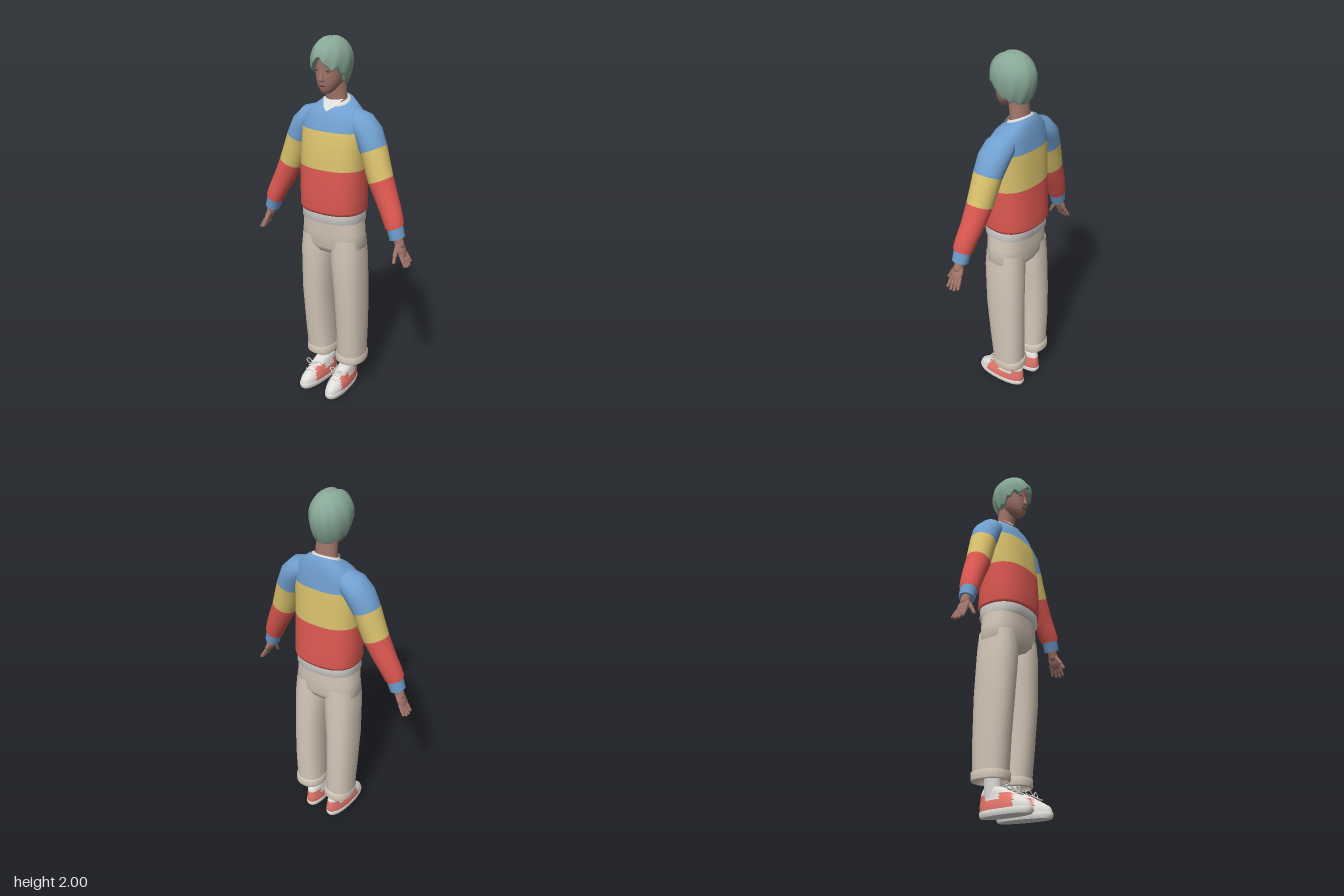
import * as THREE from 'three';

const mat = (name, color) => {
  const m = new THREE.MeshStandardMaterial({ color, side: THREE.DoubleSide });
  m.name = name;
  return m;
};
const M = {
  blue: mat('blue knit', 0x70a0d0), yellow: mat('yellow knit', 0xd9c16c), red: mat('red knit', 0xde5851),
  white: mat('white cloth', 0xe0deda), pants: mat('beige cotton', 0xd5c7b8), skin: mat('skin', 0xa1756a),
  hair: mat('sage hair', 0x88a896), coral: mat('coral canvas', 0xe4776c), dark: mat('dark brown', 0x5a3d3b),
};

// Closed tube of rows; point(i, t) gives a vertex, pick(centre) a material index
function grid(rows, segs, point, materials, pick = () => 0) {
  const pts = [], buckets = materials.map(() => []);
  for (let i = 0; i < rows; i++)
    for (let j = 0; j < segs; j++) pts.push(point(i, (j / segs) * Math.PI * 2));
  const mid = new THREE.Vector3();
  for (let i = 0; i < rows - 1; i++)
    for (let j = 0; j < segs; j++) {
      const k = (j + 1) % segs;
      const a = i * segs + j, b = i * segs + k, c = a + segs, d = b + segs;
      mid.copy(pts[a]).add(pts[b]).add(pts[c]).add(pts[d]).multiplyScalar(0.25);
      buckets[pick(mid)].push(a, c, b, b, c, d);
    }
  const g = new THREE.BufferGeometry().setFromPoints(pts);
  g.setIndex(buckets.flat());
  let start = 0;
  buckets.forEach((b, i) => { g.addGroup(start, b.length, i); start += b.length; });
  g.computeVertexNormals();
  return new THREE.Mesh(g, materials);
}

// Loft through rows [x, y, z, rx, rz, roll, pitch], bottom to top; p is the squareness
function loft(rows, materials, { segs = 36, p = 2, pick } = {}) {
  const pw = (v) => Math.sign(v) * Math.abs(v) ** (2 / p);
  return grid(rows.length, segs, (i, t) => {
    const [x, y, z, rx, rz, roll = 0, pitch = 0] = rows[i];
    const u = pw(Math.cos(t)) * rx, w = pw(Math.sin(t)) * rz;
    return new THREE.Vector3(x + u * Math.cos(roll), y + u * Math.sin(roll) - w * pitch, z + w);
  }, materials, pick);
}

// Capsule between two points
function limb(a, b, r, material) {
  const A = new THREE.Vector3(...a), B = new THREE.Vector3(...b), d = B.clone().sub(A);
  const mesh = new THREE.Mesh(new THREE.CapsuleGeometry(r, d.length(), 4, 10), material);
  mesh.position.copy(A).addScaledVector(d, 0.5);
  mesh.quaternion.setFromUnitVectors(new THREE.Vector3(0, 1, 0), d.normalize());
  return mesh;
}

function ball(pos, size, material, rotZ = 0) {
  const mesh = new THREE.Mesh(new THREE.SphereGeometry(1, 20, 14), material);
  mesh.position.set(...pos);
  mesh.scale.set(...size);
  mesh.rotation.z = rotZ;
  return mesh;
}

// Linear interpolation through [key, value] pairs
function lerpKeys(keys, x) {
  const i = Math.max(1, keys.findIndex((k) => k[0] >= x));
  const [a, va] = keys[i - 1], [b, vb] = keys[i];
  return va + (vb - va) * THREE.MathUtils.smoothstep(x, a, b);
}

export function createModel() {
  const root = new THREE.Group();
  root.name = 'standingFigure';
  const bake = (mesh) => {
    mesh.updateMatrix();
    const g = mesh.geometry.clone().applyMatrix4(mesh.matrix);
    return new THREE.Mesh(g, mesh.material);
  };
  const add = (name, mesh) => {
    const m = bake(mesh);
    m.name = name;
    root.add(m);
  };
  // Adds a left part and its mirrored right twin
  const pair = (name, mesh) => {
    add('left' + name, mesh);
    const m = bake(mesh), ix = m.geometry.index;
    m.geometry.scale(-1, 1, 1);
    for (let i = 0; i < ix.count; i += 3) {
      const t = ix.getX(i);
      ix.setX(i, ix.getX(i + 1));
      ix.setX(i + 1, t);
    }
    m.name = 'right' + name;
    root.add(m);
  };

  // Sweater body with three stripes
  add('sweaterBody', loft([
    [0, 1.1, -0.026, 0.165, 0.125], [0, 1.1, -0.026, 0.178, 0.14], [0, 1.115, -0.026, 0.183, 0.145],
    [0, 1.2, -0.023, 0.184, 0.142], [0, 1.34, -0.022, 0.183, 0.133], [0, 1.45, -0.025, 0.181, 0.125],
    [0, 1.535, -0.031, 0.182, 0.112], [0, 1.59, -0.038, 0.175, 0.1], [0, 1.63, -0.043, 0.145, 0.09, 0, 0.1],
    [0, 1.656, -0.047, 0.113, 0.078, 0, 0.2], [0, 1.677, -0.05, 0.083, 0.063, 0, 0.4],
    [0, 1.672, -0.05, 0.074, 0.055, 0, 0.4],
  ], [M.red, M.yellow, M.blue], { p: 2.4, segs: 48, pick: (c) => (c.y < 1.34 ? 0 : c.y < 1.535 ? 1 : 2) }));

  // Sleeves, from cuff to shoulder
  const yellowLow = (c) => c.y - 0.4 * (c.x - 0.285) < 1.305;
  const yellowHigh = (c) => c.y - 0.4 * (c.x - 0.232) < 1.455;
  const cuffTop = (c) => c.y - 0.4 * (c.x - 0.393) < 1.075;
  pair('Sleeve', loft([
    [0.405, 1.035, 0, 0, 0, 0.38], [0.41, 1.022, 0, 0.036, 0.036, 0.38], [0.41, 1.022, 0, 0.041, 0.043, 0.38],
    [0.393, 1.075, -0.002, 0.043, 0.046, 0.4], [0.388, 1.088, -0.003, 0.051, 0.053, 0.4],
    [0.366, 1.14, -0.01, 0.055, 0.056, 0.4], [0.333, 1.205, -0.02, 0.06, 0.06, 0.4],
    [0.285, 1.305, -0.028, 0.067, 0.067, 0.4], [0.258, 1.38, -0.034, 0.069, 0.071, 0.4],
    [0.232, 1.455, -0.039, 0.069, 0.076, 0.4], [0.195, 1.53, -0.045, 0.072, 0.083, 0.5],
    [0.152, 1.575, -0.048, 0.067, 0.08, 0.85], [0.1, 1.6, -0.05, 0.05, 0.06, 1.2],
  ], [M.blue, M.red, M.yellow], {
    pick: (c) => (cuffTop(c) ? 0 : yellowLow(c) ? 1 : yellowHigh(c) ? 2 : 0),
  }));

  // Undershirt hem, collar ring and V at the neck
  add('shirtHem', loft([
    [0, 1.05, -0.026, 0.16, 0.11], [0, 1.05, -0.026, 0.177, 0.134], [0, 1.11, -0.026, 0.176, 0.134],
  ], [M.white], { p: 2.4 }));
  add('shirtCollar', loft([
    [0, 1.655, -0.05, 0.08, 0.064, 0, 0.4], [0, 1.685, -0.05, 0.072, 0.057, 0, 0.4],
    [0, 1.685, -0.05, 0.055, 0.045, 0, 0.4],
  ], [M.white]));
  const v = new THREE.Shape([[-0.062, 0.035], [-0.03, -0.012], [0, -0.034], [0.03, -0.012], [0.062, 0.035],
    [0.03, 0.03], [0, 0.026], [-0.03, 0.03]].map((q) => new THREE.Vector2(...q)));
  const vg = new THREE.ShapeGeometry(v);
  const vp = vg.attributes.position;
  for (let i = 0; i < vp.count; i++) {
    const x = vp.getX(i), y = vp.getY(i);
    vp.setXYZ(i, x, 1.66 + y * 0.85, 0.023 - y * 0.75 - x * x * 4);
  }
  vg.computeVertexNormals();
  add('shirtNeckPoint', new THREE.Mesh(vg, M.white));

  // Trousers
  add('trouserSeat', loft([
    [0, 0.85, -0.03, 0.05, 0.05], [0, 0.865, -0.03, 0.15, 0.09], [0, 0.9, -0.029, 0.187, 0.109],
    [0, 0.98, -0.027, 0.18, 0.113], [0, 1.07, -0.025, 0.171, 0.115],
  ], [M.pants], { p: 2.5, segs: 48 }));
  pair('TrouserLeg', loft([
    [0.102, 0.19, -0.06, 0.08, 0.09], [0.108, 0.38, -0.052, 0.08, 0.101], [0.108, 0.6, -0.04, 0.084, 0.11],
    [0.1, 0.75, -0.034, 0.09, 0.111], [0.096, 0.85, -0.03, 0.092, 0.111], [0.093, 0.95, -0.029, 0.085, 0.105],
  ], [M.pants], { p: 2.3 }));
  pair('TrouserCuff', loft([
    [0.101, 0.21, -0.062, 0, 0], [0.101, 0.21, -0.062, 0.074, 0.086], [0.101, 0.17, -0.062, 0.076, 0.088],
    [0.101, 0.167, -0.062, 0.082, 0.094], [0.101, 0.175, -0.062, 0.086, 0.099],
    [0.101, 0.212, -0.062, 0.086, 0.099], [0.101, 0.219, -0.062, 0.076, 0.088],
  ], [M.pants], { p: 2.3 }));

  // Socks and shoes
  pair('Sock', loft([[0.083, 0.09, -0.058, 0.038, 0.046], [0.09, 0.215, -0.058, 0.038, 0.046]], [M.white]));
  const turned = (mesh) => {
    mesh.rotation.y = 0.07;
    return mesh;
  };
  pair('ShoeSole', turned(loft([
    [0.08, 0, 0.02, 0, 0], [0.08, 0, 0.02, 0.052, 0.149], [0.08, 0, 0.02, 0.052, 0.149],
    [0.08, 0.012, 0.02, 0.056, 0.155], [0.08, 0.028, 0.02, 0.056, 0.155], [0.08, 0.034, 0.02, 0.048, 0.145],
  ], [M.white], { p: 2.3 })));
  const canvas = ({ y, z }) => {
    const toe = z > 0.115 - y * 0.4, patch = z > -0.07 && z < 0.01 && y > 0.075;
    return toe || patch || y > 0.105 ? 0 : 1;
  };
  pair('ShoeUpper', turned(loft([
    [0.08, 0.028, 0.02, 0.054, 0.152], [0.08, 0.045, 0.018, 0.054, 0.151], [0.08, 0.06, 0.012, 0.052, 0.146],
    [0.08, 0.075, 0, 0.048, 0.132], [0.08, 0.09, -0.012, 0.045, 0.118], [0.081, 0.105, -0.025, 0.042, 0.102],
    [0.082, 0.12, -0.036, 0.04, 0.086], [0.083, 0.14, -0.05, 0.036, 0.058], [0.083, 0.135, -0.05, 0.02, 0.03],
  ], [M.white, M.coral], { p: 2.2, segs: 48, pick: canvas })));
  for (const s of [-1, 1]) {
    const bow = new THREE.CatmullRomCurve3([[0, 0.118, 0.065], [0.03, 0.14, 0.06], [0.055, 0.125, 0.055],
      [0.035, 0.115, 0.065], [0, 0.118, 0.067]].map(([x, y, z]) => new THREE.Vector3(0.085 + s * x, y, z)));
    pair('LaceBow', new THREE.Mesh(new THREE.TubeGeometry(bow, 20, 0.003, 6), M.white));
  }
  for (let i = 0; i < 3; i++) {
    const y = 0.096 + i * 0.012, z = 0.103 - i * 0.026;
    pair('Lace', limb([0.065, y, z], [0.108, y, z - 0.002], 0.004, M.white));
  }

  // Hands
  pair('Palm', ball([0.434, 0.968, 0], [0.017, 0.052, 0.035], M.skin, 0.42));
  pair('Wrist', limb([0.405, 1.04, 0], [0.424, 0.99, 0], 0.026, M.skin));
  for (let i = 0; i < 4; i++) {
    const z = 0.024 - i * 0.017, drop = [0.006, 0, 0.002, 0.014][i];
    pair('Finger', limb([0.444, 0.945, z], [0.464, 0.912, z * 1.2], 0.0095, M.skin));
    pair('Fingertip', limb([0.464, 0.912, z * 1.2], [0.478 - drop / 2, 0.886 + drop, z * 1.3], 0.008, M.skin));
  }
  pair('Thumb', limb([0.421, 0.985, 0.02], [0.425, 0.945, 0.047], 0.012, M.skin));
  pair('ThumbTip', limb([0.425, 0.945, 0.047], [0.43, 0.915, 0.064], 0.009, M.skin));

  // Neck, head and face
  add('neck', loft([
    [0, 1.65, -0.05, 0.062, 0.05], [0, 1.71, -0.046, 0.056, 0.047], [0, 1.8, -0.035, 0.055, 0.05],
  ], [M.skin]));
  add('head', loft([
    [0, 1.722, 0.048, 0, 0], [0, 1.724, 0.048, 0.02, 0.02], [0, 1.737, 0.034, 0.035, 0.039],
    [0, 1.76, 0.018, 0.053, 0.062, 0, 0.1], [0, 1.785, 0.008, 0.065, 0.078], [0, 1.82, 0, 0.073, 0.087],
    [0, 1.87, -0.004, 0.078, 0.093], [0, 1.92, -0.005, 0.077, 0.095], [0, 1.96, -0.005, 0.055, 0.07],
  ], [M.skin], { p: 2.15 }));
  add('nose', loft([
    [0, 1.783, 0.08, 0, 0], [0, 1.786, 0.085, 0.014, 0.016], [0, 1.795, 0.086, 0.014, 0.019],
    [0, 1.82, 0.084, 0.008, 0.011], [0, 1.845, 0.084, 0.006, 0.006],
  ], [M.skin], { segs: 16 }));
  add('mouth', ball([0, 1.763, 0.081], [0.02, 0.004, 0.004], M.dark));
  pair('Eye', ball([0.033, 1.838, 0.08], [0.013, 0.005, 0.004], M.dark));

  // Parted hair with wavy locks and an uneven fringe
  const edge = [[0, 1.912], [0.25, 1.885], [0.6, 1.845], [0.95, 1.85], [1.25, 1.825], [1.55, 1.788],
    [2.1, 1.775], [2.7, 1.76], [3.2, 1.757]];
  const N = 26;
  add('hair', grid(N, 72, (i, t) => {
    const a = Math.abs(Math.atan2(Math.cos(t), Math.sin(t)));
    const low = lerpKeys(edge, a) + 0.007 * Math.sin(a * 15);
    const down = 1 - Math.max(0, i - 1) / (N - 2);
    const c = Math.cos(Math.acos(THREE.MathUtils.clamp((low - 1.88) / 0.12, -1, 1)) * down);
    let r = c > 0 ? Math.sqrt(1 - c * c) : 1 - 0.3 * c * c;
    r *= 0.985 + 0.022 * Math.sin(a * 11 + down * 5) * down;
    if (i === 0) r *= 0.78;
    const x = 0.1 * r * Math.cos(t), z = -0.005 + 0.126 * r * Math.sin(t);
    const part = z > -0.03 ? 0.01 * Math.exp(-((x / 0.014) ** 2)) : 0;
    return new THREE.Vector3(x, 1.88 + 0.12 * c - part, z);
  }, [M.hair]));

  return root;
}
